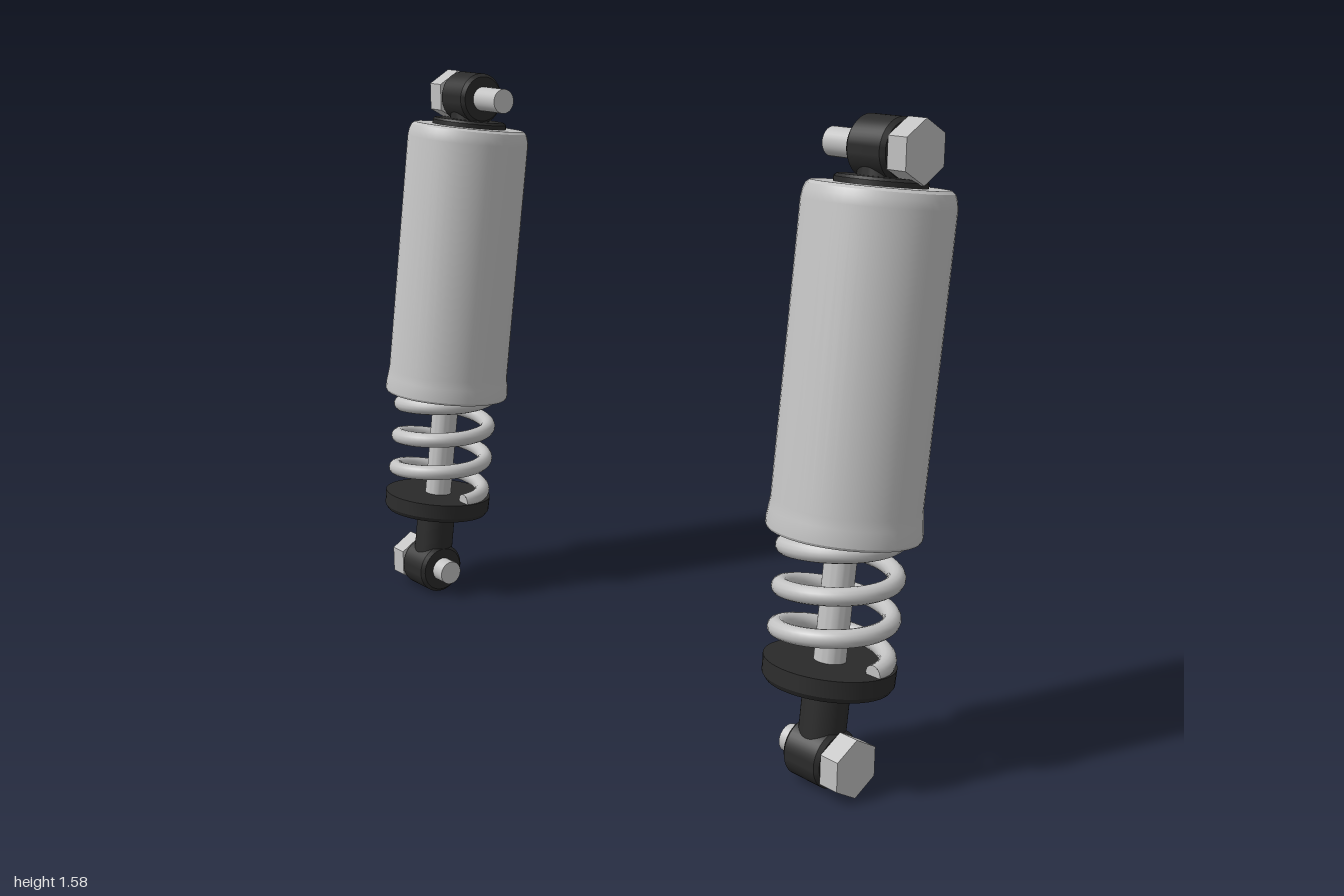
import * as THREE from 'three';
import { toCreasedNormals } from 'three/addons/utils/BufferGeometryUtils.js';

const steel = new THREE.MeshStandardMaterial({ color: 0xc2c2c2 });
steel.name = 'light grey steel';
const rubber = new THREE.MeshStandardMaterial({ color: 0x2b2b2b });
rubber.name = 'black rubber';

function part(name, geometry, material, parent) {
  const mesh = new THREE.Mesh(geometry, material);
  mesh.name = name;
  parent.add(mesh);
  return mesh;
}

// Turned part from [radius, height] pairs, bottom to top on the outside
function turned(profile) {
  const points = profile.map(([r, y]) => new THREE.Vector2(r, y));
  return toCreasedNormals(new THREE.LatheGeometry(points, 48), 0.45);
}

// Rising coil around the y axis, starting at the front
class Coil extends THREE.Curve {
  constructor(radius, start, pitch, turns) {
    super();
    Object.assign(this, { radius, start, pitch, turns });
  }
  getPoint(t, target = new THREE.Vector3()) {
    const a = t * this.turns * Math.PI * 2;
    return target.set(this.radius * Math.sin(a), this.start + t * this.turns * this.pitch, this.radius * Math.cos(a));
  }
}

// Mounting eye with its hex bolt; side is +1 or -1, headZ and tipZ are measured outward from the eye
function addMount(name, parent, position, side, headZ, tipZ) {
  const mount = new THREE.Group();
  mount.name = name;
  mount.position.copy(position);
  parent.add(mount);

  const eye = turned([[0, -0.058], [0.064, -0.058], [0.073, -0.048], [0.073, 0.048], [0.064, 0.058], [0, 0.058]]);
  part('eye', eye.rotateX(Math.PI / 2), rubber, mount);

  const headLength = 0.054;
  const head = toCreasedNormals(new THREE.CylinderGeometry(0.075, 0.075, headLength, 6), 0.4);
  part('boltHead', head.rotateX(Math.PI / 2), steel, mount).position.z = side * (headZ + headLength / 2);

  const length = headZ - tipZ;
  const shaft = new THREE.CylinderGeometry(0.035, 0.035, length, 32);
  part('boltShaft', shaft.rotateX(Math.PI / 2), steel, mount).position.z = side * (headZ + tipZ) / 2;
}

function makeShock(name, side) {
  const shock = new THREE.Group();
  shock.name = name;
  const bottom = new THREE.Vector3(-0.1, 0.075, side * 0.826);
  const top = new THREE.Vector3(0.075, 1.5, side * 0.803);

  addMount('lowerMount', shock, bottom, side, 0.062, -0.103);
  addMount('upperMount', shock, top, side, 0.065, -0.16);

  // Everything below is stacked along the tilted axis between the eyes
  const strut = new THREE.Group();
  strut.name = 'strut';
  strut.position.copy(bottom);
  strut.quaternion.setFromUnitVectors(new THREE.Vector3(0, 1, 0), top.clone().sub(bottom).normalize());
  shock.add(strut);

  part('lowerNeck', turned([[0, 0.02], [0.057, 0.02], [0.057, 0.19], [0, 0.19]]), rubber, strut);
  part('springSeat', turned([[0, 0.178], [0.15, 0.178], [0.158, 0.19], [0.159, 0.232], [0, 0.232]]), rubber, strut);
  part('pistonRod', turned([[0, 0.2], [0.039, 0.2], [0.039, 1.31], [0, 1.31]]), steel, strut);

  // Spring with closed ends
  const coil = new Coil(0.134, 0.237, 0.1, 4.5);
  const wire = 0.022;
  part('spring', new THREE.TubeGeometry(coil, 200, wire, 14), steel, strut);
  for (const t of [0, 1]) {
    const end = part('springEnd', new THREE.CircleGeometry(wire, 14), steel, strut);
    const outward = coil.getTangent(t).multiplyScalar(t ? 1 : -1);
    end.position.copy(coil.getPoint(t));
    end.quaternion.setFromUnitVectors(new THREE.Vector3(0, 0, 1), outward);
  }

  // Hollow sleeve: inner ceiling, inner wall, flared rim, outer wall, rounded shoulder
  part('sleeve', turned([
    [0, 1.31], [0.163, 1.31], [0.163, 0.544], [0.181, 0.544], [0.184, 0.55], [0.184, 0.568],
    [0.181, 0.59], [0.178, 0.615], [0.178, 1.31], [0.175, 1.33], [0.169, 1.345], [0.16, 1.352], [0, 1.352],
  ]), steel, strut);
  part('topCap', turned([[0, 1.34], [0.108, 1.34], [0.108, 1.364], [0.102, 1.371], [0, 1.371]]), rubber, strut);
  part('upperNeck', turned([[0, 1.36], [0.057, 1.36], [0.057, 1.42], [0, 1.42]]), rubber, strut);
  return shock;
}

export function createModel() {
  const model = new THREE.Group();
  model.name = 'shockAbsorberPair';
  model.add(makeShock('frontShock', 1), makeShock('rearShock', -1));
  return model;
}
